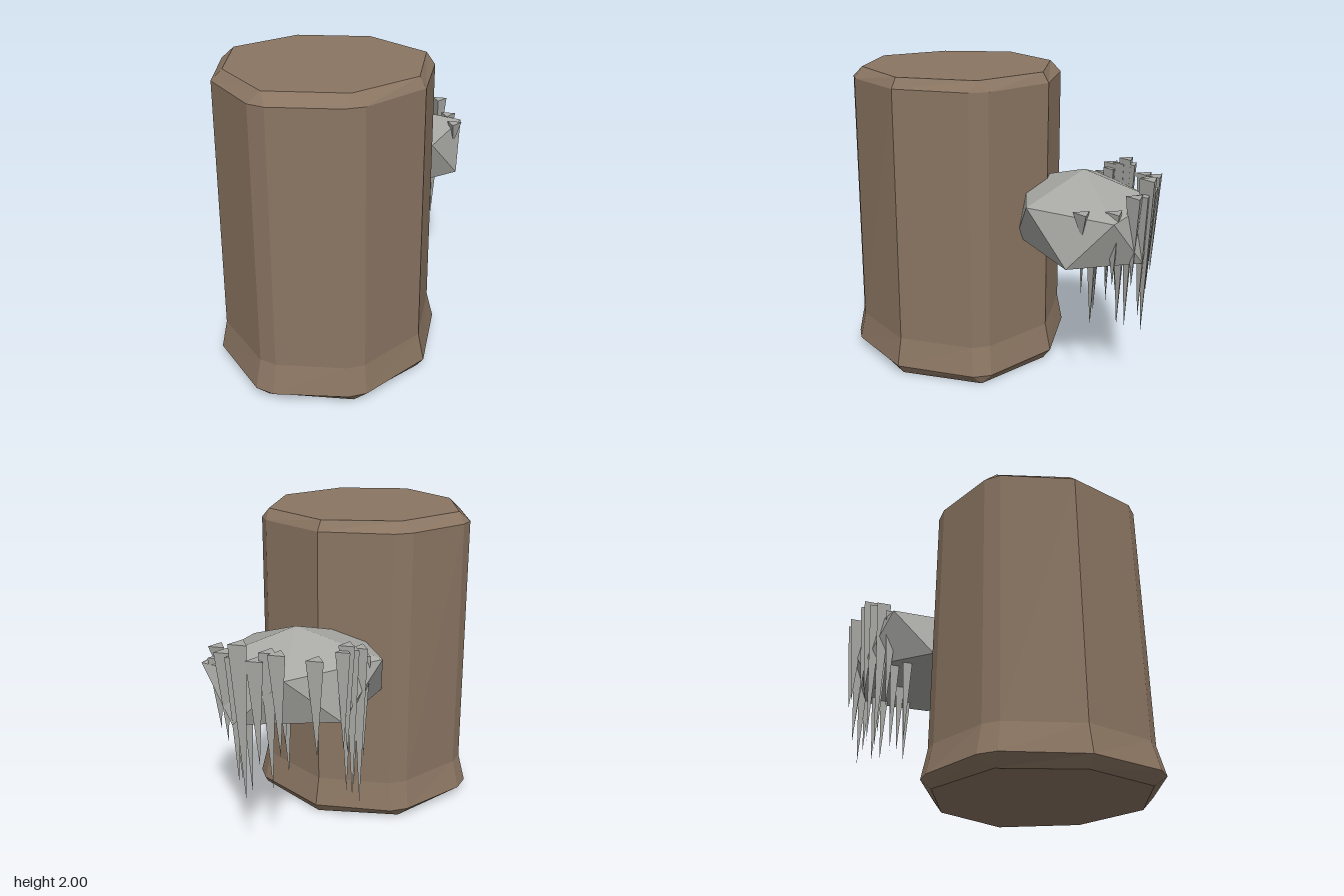
import * as THREE from 'three';

const bark = new THREE.MeshStandardMaterial({ color: 0x8a7562, flatShading: true });
bark.name = 'bark brown';
const stone = new THREE.MeshStandardMaterial({ color: 0xa9a9a5, flatShading: true });
stone.name = 'stone grey';

const AXIS_Z = 0.2; // the trunk mirrors front to back about this depth

// Closed solid skinned over [y, points] rings, counterclockwise seen from above
function skin(rings, caps = true) {
  const n = rings[0][1].length, pos = [], idx = [];
  for (const [y, pts] of rings) for (const [x, z] of pts) pos.push(x, y, z);
  for (let r = 0; r < rings.length - 1; r++) {
    for (let i = 0; i < n; i++) {
      const j = (i + 1) % n, a = r * n + i, b = r * n + j;
      idx.push(a, b, b + n, a, b + n, a + n);
    }
  }
  const last = (rings.length - 1) * n;
  if (caps) for (let i = 1; i < n - 1; i++) {
    idx.push(0, i + 1, i, last, last + i, last + i + 1);
  }
  return facet(pos, idx);
}

function facet(pos, idx) {
  const g = new THREE.BufferGeometry();
  g.setAttribute('position', new THREE.Float32BufferAttribute(pos, 3));
  g.setIndex(idx);
  const flat = g.toNonIndexed();
  flat.computeVertexNormals();
  return flat;
}

// Front half of a trunk ring, mirrored to the back
function ring(half) {
  const back = half.slice(1).reverse().map(([x, z]) => [x, 2 * AXIS_Z - z]);
  return [...half, ...back];
}

// Octagon with each corner doubled where the trunk's corners are bevelled
const octagon = (l, a, b, c, d) => ring([l, a, a, b, b, c, d]);

function makeTrunk() {
  return new THREE.Mesh(skin([
    [0, octagon([-0.93, 0.2], [-0.77, 0.69], [-0.27, 0.9], [0.23, 0.69], [0.48, 0.2])],
    [0.07, ring([[-0.99, 0.2], [-0.85, 0.7], [-0.76, 0.79], [-0.32, 0.95], [-0.2, 0.95], [0.26, 0.73], [0.51, 0.26]])],
    [0.26, ring([[-0.95, 0.2], [-0.81, 0.67], [-0.73, 0.75], [-0.32, 0.91], [-0.2, 0.91], [0.23, 0.7], [0.46, 0.26]])],
    [1.935, ring([[-0.93, 0.2], [-0.8, 0.66], [-0.72, 0.74], [-0.32, 0.89], [-0.2, 0.89], [0.22, 0.69], [0.445, 0.26]])],
    [2, octagon([-0.86, 0.2], [-0.72, 0.66], [-0.265, 0.835], [0.19, 0.66], [0.41, 0.2])],
  ]), bark);
}

// Faceted boulder: a peak, two staggered rings of five and a flat underside
function makeBoulder() {
  const pos = [0.41, 1.42, -0.48], idx = [];
  const addRing = (y, rx, rz, turn) => {
    for (let i = 0; i < 5; i++) {
      const a = turn + (i * Math.PI * 2) / 5;
      pos.push(0.41 + rx * Math.cos(a), y, -0.48 + rz * Math.sin(a));
    }
  };
  addRing(1.25, 0.57, 0.44, 0);
  addRing(0.94, 0.55, 0.41, Math.PI / 5);
  for (let i = 0; i < 5; i++) {
    const j = (i + 1) % 5, u = 1 + i, v = 1 + j, l = 6 + i, m = 6 + j;
    idx.push(0, v, u, u, v, l, l, v, m);
    if (i > 0 && i < 4) idx.push(6, l, m);
  }
  return new THREE.Mesh(facet(pos, idx), stone);
}

// Three-sided spikes hanging round the boulder's rim: x, z, top, tip, radius
const SPIKES = [
  [0.06, -0.73, 1.29, 0.62, 0.05], [0.10, -0.78, 1.36, 0.33, 0.055],
  [0.13, -0.76, 1.33, 0.45, 0.05], [0.16, -0.82, 1.37, 0.40, 0.05],
  [0.20, -0.85, 1.41, 0.72, 0.055], [0.23, -0.87, 1.38, 0.75, 0.05],
  [0.15, -0.67, 1.20, 0.35, 0.05], [0.08, -0.60, 1.15, 0.39, 0.05],
  [0.40, -0.90, 1.36, 0.75, 0.06], [0.49, -0.55, 1.15, 0.47, 0.05],
  [0.54, -0.70, 1.2, 0.75, 0.05], [0.61, -0.88, 1.41, 0.78, 0.06],
  [0.65, -0.83, 1.41, 0.55, 0.06], [0.72, -0.81, 1.36, 0.70, 0.06],
  [0.745, -0.67, 1.22, 0.46, 0.05], [0.80, -0.76, 1.45, 0.45, 0.065],
  [0.79, -0.60, 1.18, 0.50, 0.05], [0.83, -0.72, 1.36, 0.55, 0.05],
  [0.87, -0.65, 1.37, 0.80, 0.06], [0.75, -0.44, 1.15, 0.50, 0.05],
  [0.89, -0.52, 1.29, 0.83, 0.06], [0.86, -0.33, 1.29, 1.13, 0.06],
];

function makeSpikes() {
  const group = new THREE.Group();
  for (const [x, z, top, tip, r] of SPIKES) {
    const g = new THREE.CylinderGeometry(r, 0, top - tip, 3, 1, false, Math.PI / 2);
    const spike = new THREE.Mesh(g, stone);
    spike.position.set(x, (top + tip) / 2, z);
    spike.name = 'hangingSpike';
    group.add(spike);
  }
  return group;
}

export function createModel() {
  const model = new THREE.Group();
  const parts = { trunk: makeTrunk(), boulder: makeBoulder(), hangingSpikes: makeSpikes() };
  for (const [name, part] of Object.entries(parts)) {
    part.name = name;
    model.add(part);
  }
  return model;
}
